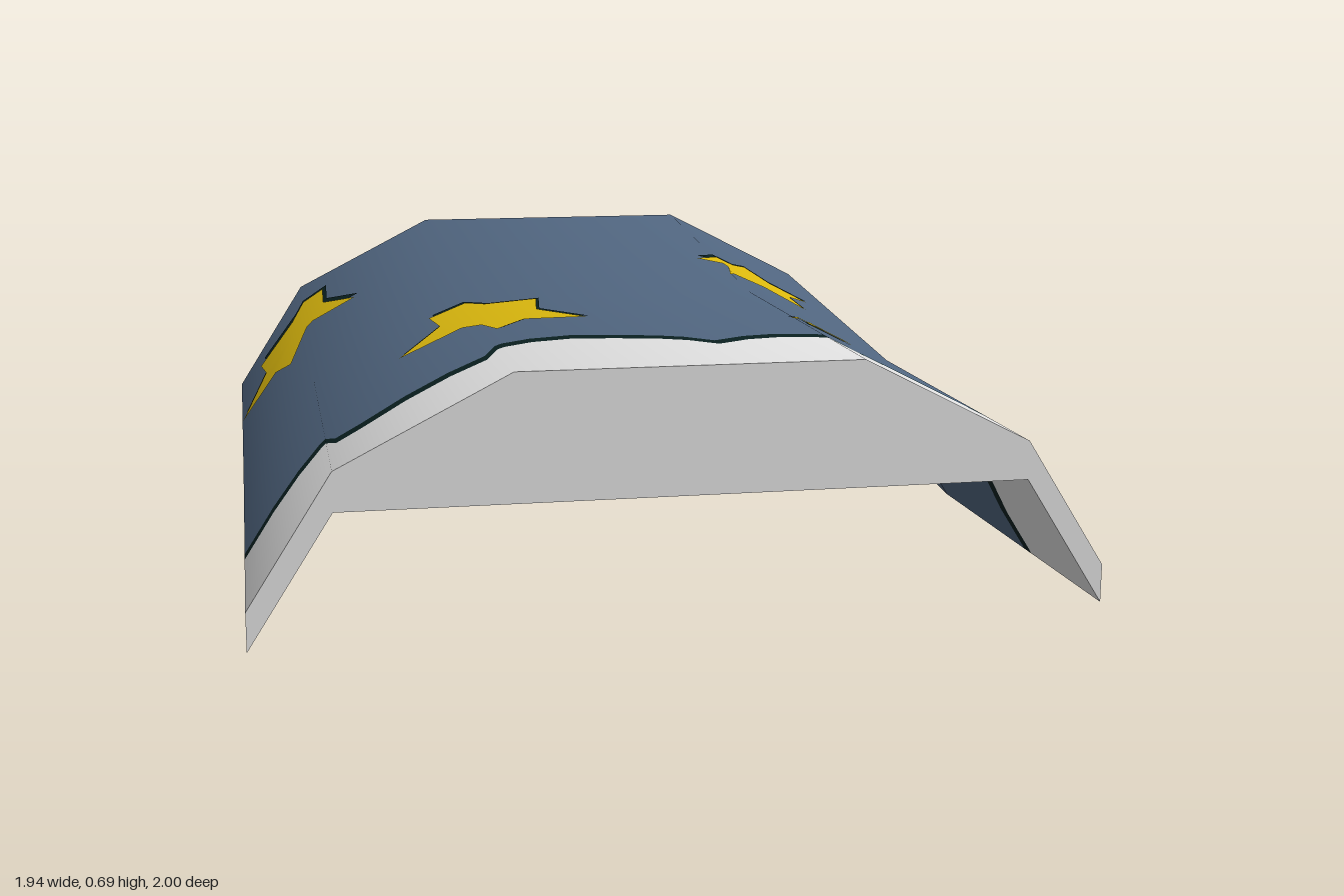
import * as THREE from 'three';

const W = 0.97;
const mat = (name, color) => {
  const m = new THREE.MeshStandardMaterial({ color });
  m.name = name;
  return m;
};

// Piecewise linear lookup in a list of [x, value]
function lookup(table, x) {
  let i = 1;
  while (i < table.length - 1 && x > table[i][0]) i++;
  const [x0, v0] = table[i - 1], [x1, v1] = table[i];
  return v0 + (v1 - v0) * THREE.MathUtils.clamp((x - x0) / (x1 - x0), 0, 1);
}

// Cross-sections of the draped blanket and its rising rear half
const OUTER = [[-W, 0.09], [-0.78, 0.39], [-0.39, 0.59], [0.39, 0.59], [0.78, 0.39], [W, 0.09]];
const INNER = [[-W, 0], [-0.78, 0.3], [0.78, 0.3], [W, 0]];
const TILT = [[-W, -0.845], [-0.78, -0.62], [-0.39, -0.235], [0.39, 0.235], [0.78, 0.62], [W, 0.845]];
const rise = z => Math.max(0, -z) * 0.1;

// Scalloped edge of the folded sheet, as [x, z]
const HEM = [[-W, 0.6], [-0.9, 0.6], [-0.84, 0.64], [-0.79, 0.71], [-0.76, 0.78], [-0.7, 0.77], [-0.6, 0.74],
  [-0.5, 0.74], [-0.42, 0.77], [-0.37, 0.7], [-0.3, 0.65], [-0.2, 0.62], [-0.1, 0.635], [0, 0.66], [0.06, 0.69],
  [0.12, 0.75], [0.2, 0.705], [0.28, 0.69], [0.36, 0.705], [0.46, 0.76], [0.54, 0.73], [0.62, 0.725],
  [0.7, 0.74], [0.78, 0.79], [0.88, 0.8], [0.92, 0.76], [W, 0.7]];
const BAND = 0.045;

const top = { up: true, folds: [-W, -0.78, -0.39, 0.39, 0.78, W], y: (x, z) => lookup(OUTER, x) + rise(z), hem: x => lookup(HEM, x) };
const under = { up: false, folds: [-W, -0.78, 0.78, W], y: (x, z) => lookup(INNER, x) + rise(z), hem: x => lookup(HEM, -x) };

// Lays triangles given as [x, z] corners onto a surface
function drape(surface, tris, lift = 0) {
  const pos = [], nor = [];
  const s = surface.up ? 1 : -1;
  for (let [a, b, c] of tris) {
    const area = (b[1] - a[1]) * (c[0] - a[0]) - (b[0] - a[0]) * (c[1] - a[1]);
    if (Math.abs(area) < 1e-9) continue;
    if (area * s < 0) [b, c] = [c, b];
    for (const [x, z] of [a, b, c]) {
      pos.push(x, surface.y(x, z) + s * lift, z);
      const nx = lookup(TILT, x), n = new THREE.Vector3(nx, Math.sqrt(1 - nx * nx), 0.05 * (1 - z)).normalize();
      nor.push(n.x, n.y, n.z);
    }
  }
  const g = new THREE.BufferGeometry();
  g.setAttribute('position', new THREE.Float32BufferAttribute(pos, 3));
  if (surface.up) g.setAttribute('normal', new THREE.Float32BufferAttribute(nor, 3));
  else g.computeVertexNormals();
  return g;
}

// Triangles between two z curves across the full width
function strip(zA, zB) {
  const all = [...HEM.map(p => p[0]), ...HEM.map(p => -p[0]), ...top.folds];
  const xs = [...new Set(all)].sort((a, b) => a - b);
  const tris = [];
  for (let i = 1; i < xs.length; i++) {
    const p = xs[i - 1], q = xs[i];
    tris.push([[p, zA(p)], [p, zB(p)], [q, zA(q)]], [[q, zA(q)], [p, zB(p)], [q, zB(q)]]);
  }
  return tris;
}

// Keeps the part of a convex polygon where sign * (p[axis] - at) >= 0
function clip(poly, axis, at, sign) {
  const out = [];
  poly.forEach((p, i) => {
    const q = poly[(i + 1) % poly.length];
    const dp = sign * (p[axis] - at), dq = sign * (q[axis] - at);
    if (dp >= 0) out.push(p);
    if (dp * dq < 0) {
      const t = dp / (dp - dq);
      out.push([p[0] + (q[0] - p[0]) * t, p[1] + (q[1] - p[1]) * t]);
    }
  });
  return out;
}

// Star from five tips, cut along the folds so it lies flat on the surface
function starTris(tips, surface, dx = 0, dz = 0) {
  const c = [0, 1].map(k => tips.reduce((t, p) => t + p[k], 0) / 5);
  const pts = tips.flatMap((p, i) => {
    const q = tips[(i + 1) % 5];
    return [p, [0, 1].map(k => c[k] + ((p[k] + q[k]) / 2 - c[k]) * 0.66)];
  });
  const move = p => [p[0] + dx, p[1] + dz];
  const tris = [];
  pts.forEach((p, i) => {
    const tri = [c, p, pts[(i + 1) % 10]].map(move);
    for (let f = 1; f < surface.folds.length; f++) {
      const column = clip(clip(tri, 0, surface.folds[f - 1], 1), 0, surface.folds[f], -1);
      for (const side of [1, -1]) {
        const poly = clip(column, 1, 0, side);
        for (let k = 2; k < poly.length; k++) tris.push([poly[0], poly[k - 1], poly[k]]);
      }
    }
  });
  return tris;
}

export function createModel() {
  const blue = mat('blanketBlue', 0x50657f);
  const white = mat('sheetWhite', 0xe0e0e0);
  const yellow = mat('starYellow', 0xdcb90e);
  const dark = mat('outlineDark', 0x0a2020);

  const model = new THREE.Group();
  model.name = 'blanket';
  const add = (name, geometry, material) => {
    const m = new THREE.Mesh(geometry, material);
    m.name = name;
    model.add(m);
  };

  // Upper and lower cloth, split into colour zones
  for (const [label, s] of [['top', top], ['under', under]]) {
    const edge = x => s.hem(x) - BAND;
    add(label + 'BlanketRear', drape(s, strip(() => -1, () => 0)), blue);
    add(label + 'BlanketFront', drape(s, strip(() => 0, edge)), blue);
    add(label + 'HemOutline', drape(s, strip(edge, s.hem)), dark);
    add(label + 'Sheet', drape(s, strip(s.hem, () => 1)), white);
  }

  // Thin side edges
  for (const side of [-1, 1]) {
    const h = lookup(HEM, side * W);
    const zones = [[-1, 0, blue], [0, h - BAND, blue], [h - BAND, h, dark], [h, 1, white]];
    for (const [a, b, m] of zones) {
      const x = side * W;
      const low = z => [x, rise(z), z], high = z => [x, 0.09 + rise(z), z];
      const [p, q] = side > 0 ? [b, a] : [a, b];
      const g = new THREE.BufferGeometry();
      g.setAttribute('position', new THREE.Float32BufferAttribute(
        [low(p), low(q), high(q), low(p), high(q), high(p)].flat(), 3));
      g.computeVertexNormals();
      add(side > 0 ? 'leftEdge' : 'rightEdge', g, m);
    }
  }

  // End walls
  const outline = [...INNER, ...[...OUTER].reverse()].map(p => new THREE.Vector2(...p));
  const wall = () => new THREE.ShapeGeometry(new THREE.Shape(outline));
  add('frontWall', wall().translate(0, 0, 1), white);
  add('rearWall', wall().rotateY(Math.PI).translate(0, 0.1, -1), blue);

  // Stars with a dark drop outline: tips, then outline offset
  const topStars = [
    [[[0.5, -0.49], [0.66, -0.38], [0.6, -0.18], [0.38, -0.18], [0.33, -0.38]], 0.01, -0.045],
    [[[-0.91, -0.84], [-0.72, -0.82], [-0.64, -0.55], [-0.83, -0.41], [-0.968, -0.6]], 0.012, -0.035],
    [[[-0.48, 0.03], [-0.2, 0.04], [-0.12, 0.35], [-0.36, 0.49], [-0.58, 0.31]], 0.012, -0.03],
    [[[0.44, 0.39], [0.53, 0.45], [0.5, 0.56], [0.39, 0.55], [0.37, 0.46]], 0.005, -0.03],
  ];
  const fivePoint = (cx, cz, r) => [0, 1, 2, 3, 4].map(i => {
    const a = i * Math.PI * 0.4;
    return [cx + r * Math.sin(a), cz + r * Math.cos(a)];
  });
  const underStars = [[0.42, -0.25, 0.25], [-0.57, -0.74, 0.24], [-0.48, 0.25, 0.23]]
    .map(([x, z, r]) => [fivePoint(x, z, r), -0.02, -0.035]);
  for (const [label, s, stars] of [['top', top, topStars], ['under', under, underStars]]) {
    for (const [tips, dx, dz] of stars) {
      add(label + 'StarOutline', drape(s, starTris(tips, s, dx, dz), 0.003), dark);
      add(label + 'Star', drape(s, starTris(tips, s), 0.006), yellow);
    }
  }
  return model;
}
